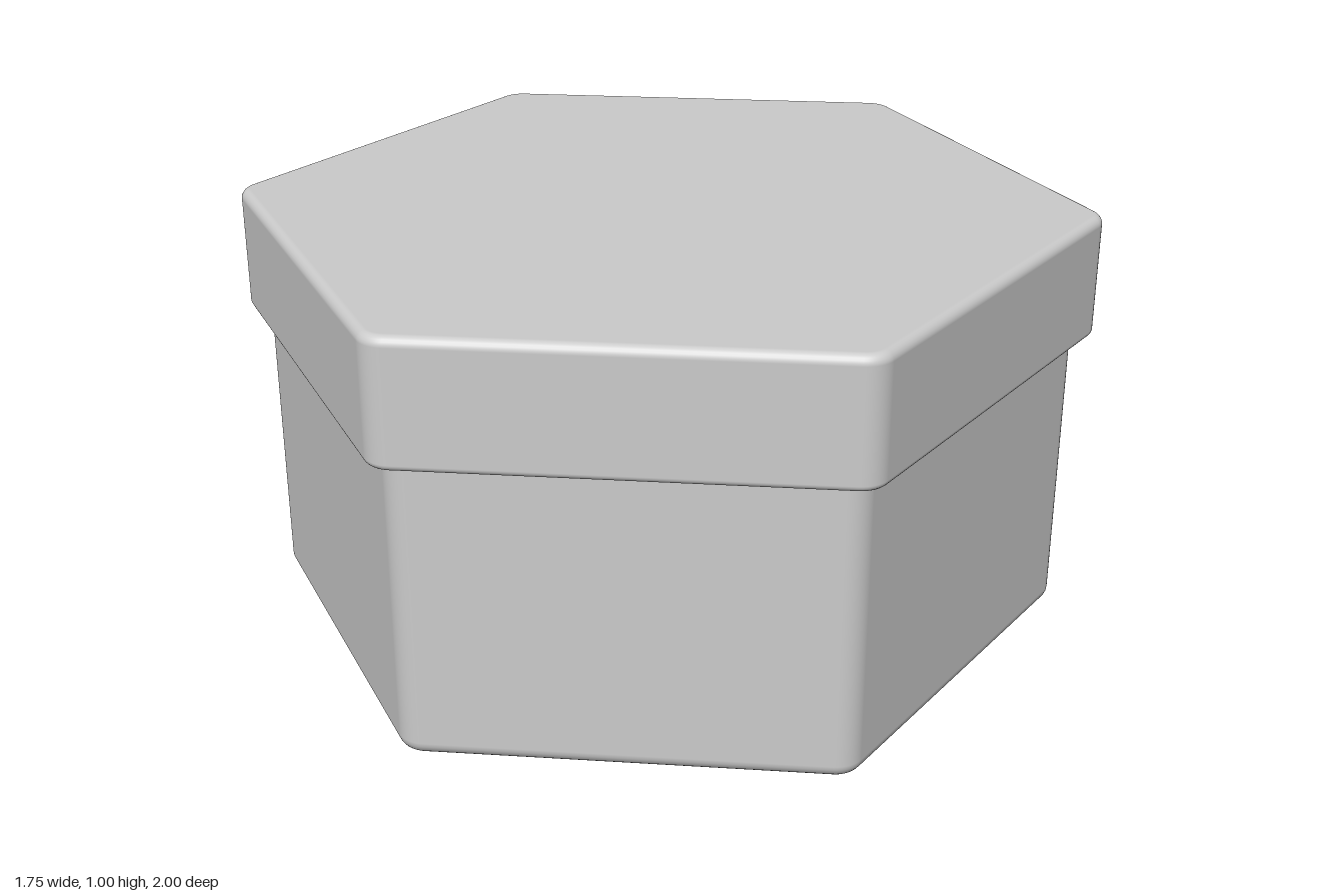
import * as THREE from 'three';

const CORNER_STEPS = 8; // segments per rounded vertical corner
const BEVEL_STEPS = 6; // segments per rounded rim

// Solid hexagonal prism with rounded corners and rounded top and bottom rims.
// apothem: centre to flat side, corner: vertical edge radius (at least the rim radii)
function roundedHexPrism({ apothem, corner, y0, y1, bottomRim, topRim }) {
  // Rim profile from bottom to top: rim radius, arc centre height, tilt angle
  const profile = [];
  for (let s = 0; s <= BEVEL_STEPS; s++) {
    profile.push([bottomRim, y0 + bottomRim, (s / BEVEL_STEPS - 1) * Math.PI / 2]);
  }
  for (let s = 0; s <= BEVEL_STEPS; s++) {
    profile.push([topRim, y1 - topRim, (s / BEVEL_STEPS) * Math.PI / 2]);
  }

  const positions = [], normals = [], index = [];
  const centreDistance = (apothem - corner) / Math.cos(Math.PI / 6);
  const count = 6 * (CORNER_STEPS + 1);

  // Stacked rounded-hexagon rings
  for (const [rim, height, tilt] of profile) {
    const radius = corner - rim + rim * Math.cos(tilt);
    for (let k = 0; k < 6; k++) {
      const axis = k * Math.PI / 3;
      for (let s = 0; s <= CORNER_STEPS; s++) {
        const angle = axis + (s / CORNER_STEPS - 0.5) * Math.PI / 3;
        const nx = Math.sin(angle), nz = Math.cos(angle);
        positions.push(
          centreDistance * Math.sin(axis) + radius * nx,
          height + rim * Math.sin(tilt),
          centreDistance * Math.cos(axis) + radius * nz
        );
        normals.push(nx * Math.cos(tilt), Math.sin(tilt), nz * Math.cos(tilt));
      }
    }
  }

  // Walls between neighbouring rings
  for (let j = 0; j < profile.length - 1; j++) {
    for (let i = 0; i < count; i++) {
      const next = (i + 1) % count;
      const a = j * count + i, b = j * count + next;
      index.push(a, b, b + count, a, b + count, a + count);
    }
  }

  // Flat caps
  const bottom = positions.length / 3, top = bottom + 1;
  const lastRing = (profile.length - 1) * count;
  positions.push(0, y0, 0, 0, y1, 0);
  normals.push(0, -1, 0, 0, 1, 0);
  for (let i = 0; i < count; i++) {
    const next = (i + 1) % count;
    index.push(bottom, next, i, top, lastRing + i, lastRing + next);
  }

  const geometry = new THREE.BufferGeometry();
  geometry.setAttribute('position', new THREE.Float32BufferAttribute(positions, 3));
  geometry.setAttribute('normal', new THREE.Float32BufferAttribute(normals, 3));
  geometry.setIndex(index);
  return geometry;
}

export function createModel() {
  const group = new THREE.Group();
  group.name = 'hexagonalBox';
  const material = new THREE.MeshStandardMaterial({ color: 0xcccccc });

  const addPart = (name, options) => {
    const mesh = new THREE.Mesh(roundedHexPrism(options), material);
    mesh.name = name;
    group.add(mesh);
  };

  // Box body, its top tucked inside the lid
  addPart('body', { apothem: 0.832, corner: 0.067, y0: 0, y1: 0.78, bottomRim: 0.035, topRim: 0.02 });
  // Overhanging lid
  addPart('lid', { apothem: 0.875, corner: 0.067, y0: 0.708, y1: 1, bottomRim: 0.015, topRim: 0.022 });

  return group;
}
